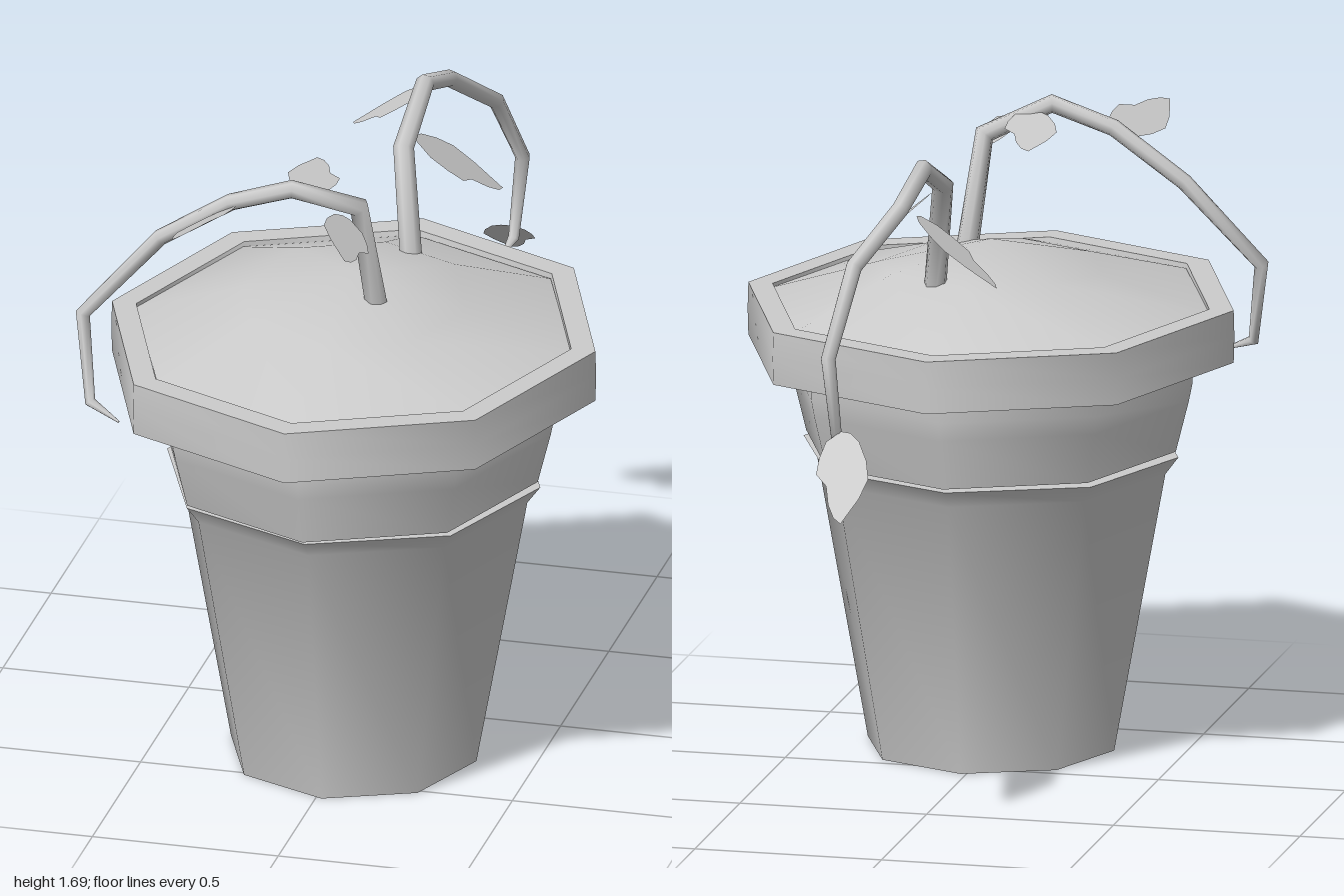
import * as THREE from 'three';
import { toCreasedNormals } from 'three/addons/utils/BufferGeometryUtils.js';

const grey = new THREE.MeshStandardMaterial({ color: 0xcccccc });
const thin = new THREE.MeshStandardMaterial({ color: 0xcccccc, side: THREE.DoubleSide });
const vec = (p) => new THREE.Vector3(...p);

function addMesh(parent, name, geometry, material = grey) {
  const mesh = new THREE.Mesh(geometry, material);
  mesh.name = name;
  parent.add(mesh);
  return mesh;
}

// Eight-sided turned part, stretched in depth; smooth round the sides, sharp at the lips
function turned(profile, depth, adjust) {
  const geo = new THREE.LatheGeometry(profile.map(([r, y]) => new THREE.Vector2(r, y)), 8);
  if (adjust) adjust(geo.attributes.position);
  geo.scale(1, 1, depth);
  return toCreasedNormals(geo, 0.93);
}

// Straight-segment path with mitred corners
class Polyline extends THREE.Curve {
  constructor(points) {
    super();
    this.points = points;
  }
  getPoint(t) {
    const n = this.points.length - 1;
    const i = Math.min(Math.floor(t * n + 1e-6), n - 1);
    return this.points[i].clone().lerp(this.points[i + 1], t * n - i);
  }
  getPointAt(t) {
    return this.getPoint(t);
  }
  getTangentAt(t) {
    const p = this.points, n = p.length - 1, i = Math.round(t * n);
    const dir = (a, b) => p[b].clone().sub(p[a]).normalize();
    const out = new THREE.Vector3();
    if (i > 0) out.add(dir(i - 1, i));
    if (i < n) out.add(dir(i, i + 1));
    return out.normalize();
  }
}

// Tapering stem: one tube ring per path point, scaled about its centre
function stemGeometry(path, radii) {
  const sides = 7;
  const points = path.map(vec);
  const geo = new THREE.TubeGeometry(new Polyline(points), points.length - 1, 1, sides, false);
  const pos = geo.attributes.position, v = new THREE.Vector3();
  for (let k = 0; k < pos.count; k++) {
    const i = Math.floor(k / (sides + 1));
    v.fromBufferAttribute(pos, k).sub(points[i]).multiplyScalar(radii[i]).add(points[i]);
    pos.setXYZ(k, v.x, v.y, v.z);
  }
  return geo;
}

// Flat wavy leaf: u runs base to tip, v across
const leafOutline = [
  [0, 0.05], [0.12, 0.33], [0.3, 0.45], [0.48, 0.5], [0.6, 0.3], [0.8, 0.25], [0.94, 0.14],
  [1, 0], [0.88, -0.14], [0.72, -0.33], [0.5, -0.5], [0.3, -0.45], [0.1, -0.3], [0.01, -0.12],
];
function leafGeometry(base, tip, side) {
  const geo = new THREE.ShapeGeometry(new THREE.Shape(leafOutline.map(([u, v]) => new THREE.Vector2(u, v))));
  const along = vec(tip).sub(vec(base)), across = vec(side);
  const normal = along.clone().cross(across).normalize();
  geo.applyMatrix4(new THREE.Matrix4().makeBasis(along, across, normal).setPosition(...base));
  geo.computeVertexNormals();
  return geo;
}

export function createModel() {
  const model = new THREE.Group();
  model.name = 'pottedPlant';

  // Pot
  const pot = new THREE.Group();
  pot.name = 'pot';
  pot.position.set(0.015, 0, 0.275);
  model.add(pot);
  addMesh(pot, 'potBody', turned([[0, 0], [0.33, 0], [0.467, 0.75], [0.502, 0.797], [0.44, 0.8]], 1.02));
  addMesh(pot, 'potCollar', turned([[0.42, 0.805], [0.495, 0.812], [0.53, 0.95], [0.54, 1.0], [0.54, 1.07]], 1.08));
  addMesh(pot, 'potRim', turned([[0.5, 1.06], [0.65, 1.06], [0.652, 1.13], [0.65, 1.2], [0.585, 1.2], [0.57, 1.12]], 1.11));

  // Soil mound, fuller towards the back
  addMesh(pot, 'soil', turned([[0.585, 1.19], [0.3, 1.277], [0, 1.355]], 1.085, (pos) => {
    for (let i = 0; i < pos.count; i++) {
      const r = Math.hypot(pos.getX(i), pos.getZ(i));
      if (r > 0.2 && r < 0.4 && pos.getZ(i) < -0.1) pos.setY(i, pos.getY(i) + 0.025);
    }
  }));

  // Drooping stems, root to tip
  const radii = [0.03, 0.028, 0.025, 0.023, 0.022, 0.02, 0.015, 0.003];
  addMesh(model, 'frontStem', stemGeometry([
    [0.1, 1.29, 0.355], [0.065, 1.6, 0.41], [-0.095, 1.67, 0.495], [-0.26, 1.615, 0.495],
    [-0.455, 1.485, 0.475], [-0.652, 1.265, 0.515], [-0.615, 1.045, 0.58], [-0.53, 1.01, 0.61],
  ], radii), thin);
  addMesh(model, 'backStem', stemGeometry([
    [0.1, 1.26, 0], [0.065, 1.575, -0.05], [0.068, 1.67, -0.26], [0.085, 1.605, -0.45],
    [0.17, 1.485, -0.605], [0.205, 1.27, -0.745], [0.185, 1.045, -0.73], [0.165, 1.01, -0.685],
  ], radii), thin);

  // Leaves: base, tip, width vector
  const leaves = {
    frontStemInnerLeaf: [[-0.05, 1.655, 0.47], [-0.11, 1.622, 0.17], [0.14, 0, 0]],
    frontStemOuterLeaf: [[0.04, 1.575, 0.43], [0.1, 1.575, 0.7], [0.12, -0.07, 0]],
    frontStemSideLeaf: [[-0.265, 1.6, 0.5], [-0.34, 1.625, 0.79], [0.12, 0.06, 0]],
    backStemLeftLeaf: [[0.08, 1.57, -0.12], [0.28, 1.4, -0.25], [0.06, -0.05, 0.11]],
    backStemRightLeaf: [[0.04, 1.585, -0.42], [-0.19, 1.425, -0.51], [-0.04, -0.03, 0.12]],
    backStemTipLeaf: [[0.165, 1.075, -0.735], [0.11, 0.895, -1], [0.14, 0, 0]],
  };
  for (const [name, spec] of Object.entries(leaves)) addMesh(model, name, leafGeometry(...spec), thin);

  return model;
}
